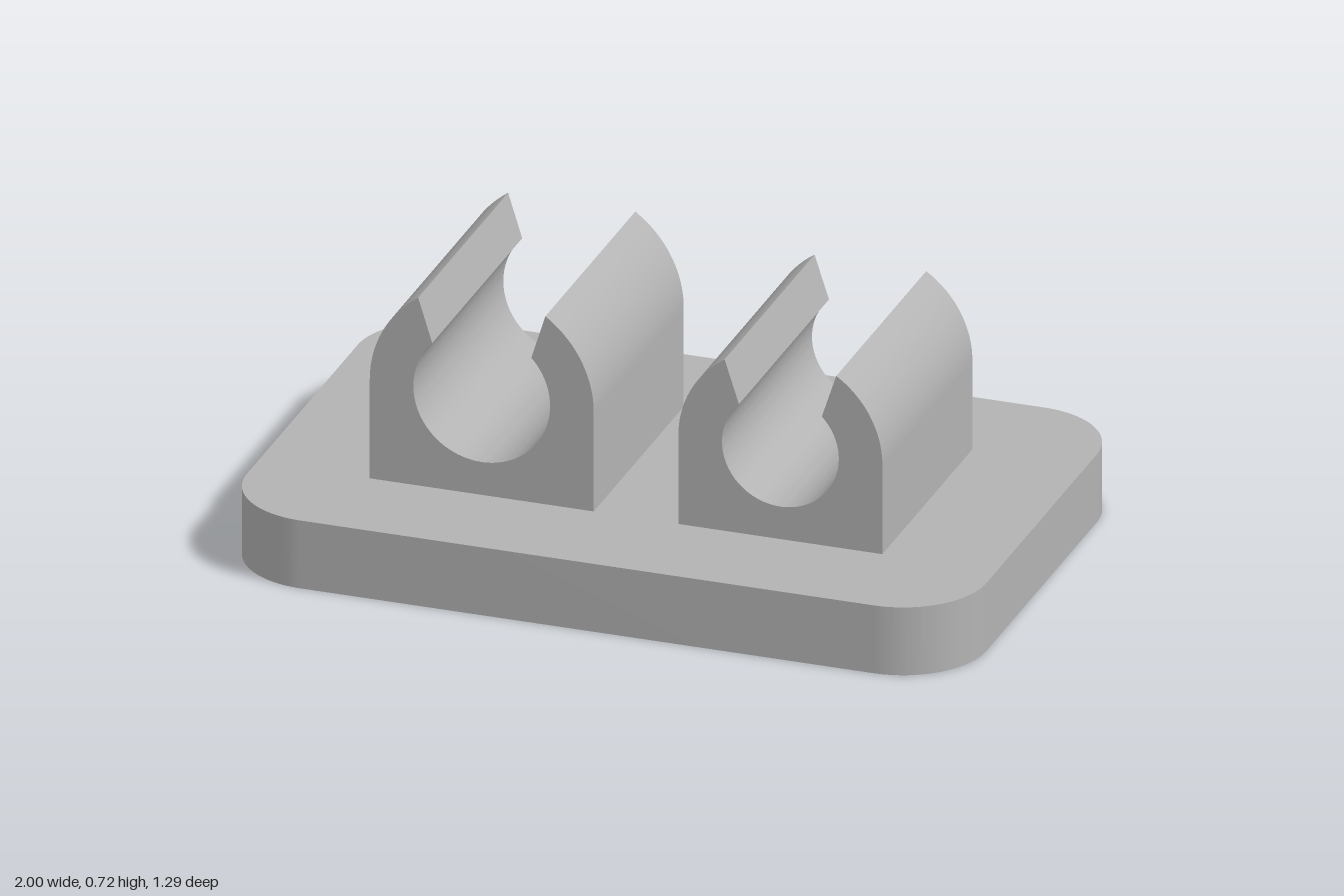
import * as THREE from 'three';
import { toCreasedNormals } from 'three/addons/utils/BufferGeometryUtils.js';

const BASE_TOP = 0.19;

function extrude(shape, depth, curveSegments) {
  const geometry = new THREE.ExtrudeGeometry(shape, { depth, curveSegments, bevelEnabled: false });
  geometry.translate(0, 0, -depth / 2);
  return toCreasedNormals(geometry, 0.4);
}

// Flat plate with rounded corners, outlined in plan and stood on y = 0
function baseGeometry(w, d, r) {
  const s = new THREE.Shape();
  s.absarc(w - r, d - r, r, 0, Math.PI / 2);
  s.absarc(r - w, d - r, r, Math.PI / 2, Math.PI);
  s.absarc(r - w, r - d, r, Math.PI, Math.PI * 1.5);
  s.absarc(w - r, r - d, r, Math.PI * 1.5, Math.PI * 2);
  s.closePath();
  return extrude(s, BASE_TOP, 20).rotateX(-Math.PI / 2).translate(0, BASE_TOP / 2, 0);
}

// Open-topped clip: round outside, round bore, lips flaring outwards
function clipGeometry({ cy, outer, bore, tipX, throatX }) {
  const tip = Math.acos(tipX / outer);
  const throat = Math.acos(throatX / bore);
  const s = new THREE.Shape();
  s.moveTo(-outer, BASE_TOP);
  s.lineTo(outer, BASE_TOP);
  s.absarc(0, cy, outer, 0, tip, false);
  s.absarc(0, cy, bore, throat, Math.PI - throat, true);
  s.absarc(0, cy, outer, Math.PI - tip, Math.PI, false);
  s.closePath();
  return extrude(s, 0.683, 48);
}

export function createModel() {
  const group = new THREE.Group();
  const grey = new THREE.MeshStandardMaterial({ color: 0xb3b3b3 });
  grey.name = 'grey plastic';

  const add = (name, geometry, x = 0) => {
    const mesh = new THREE.Mesh(geometry, grey);
    mesh.name = name;
    mesh.position.x = x;
    group.add(mesh);
  };

  add('basePlate', baseGeometry(1, 0.645, 0.225));
  add('largeClip', clipGeometry({ cy: 0.467, outer: 0.303, bore: 0.185, tipX: 0.172, throatX: 0.134 }), -0.393);
  add('smallClip', clipGeometry({ cy: 0.439, outer: 0.276, bore: 0.158, tipX: 0.151, throatX: 0.112 }), 0.415);
  return group;
}
